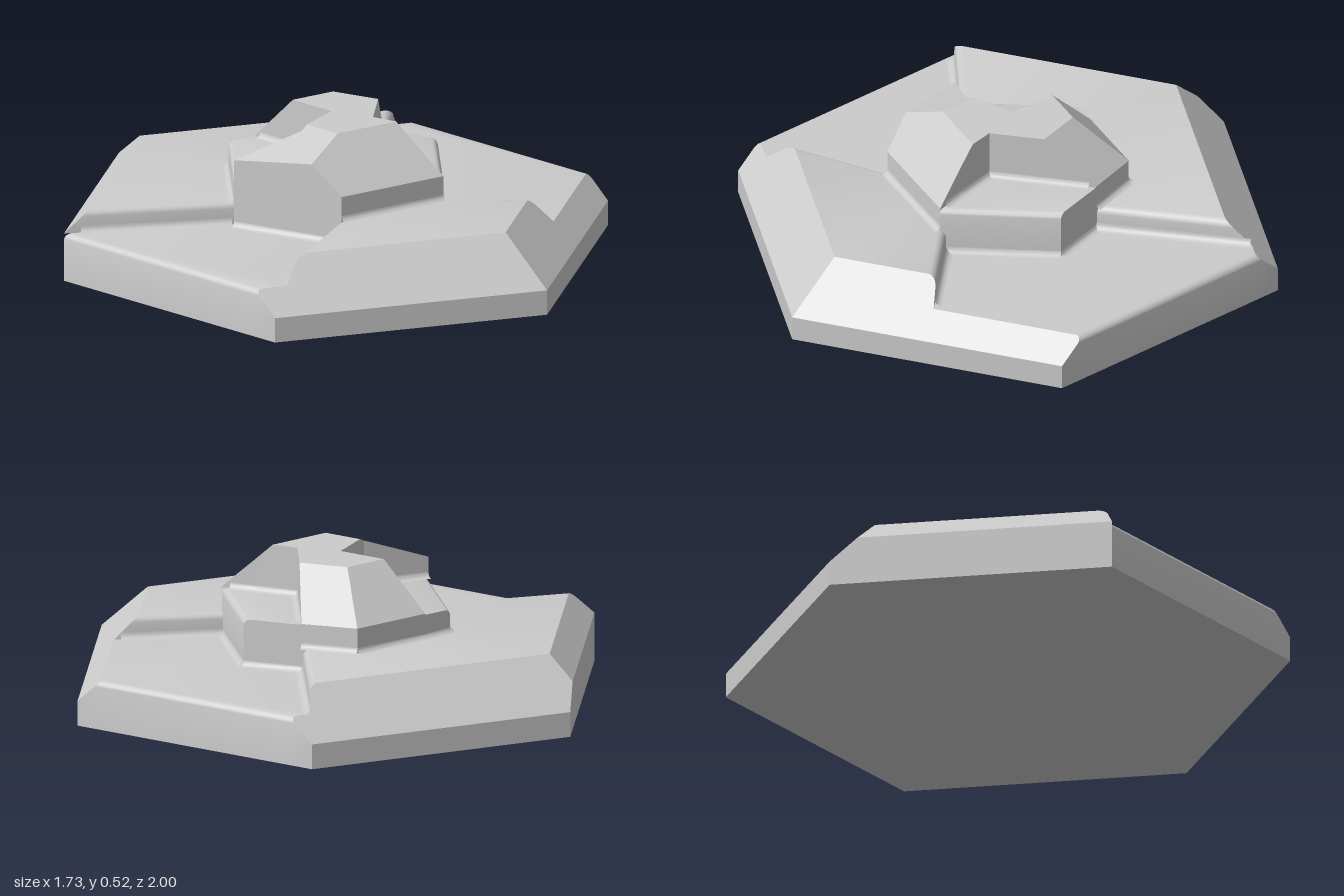
import * as THREE from 'three';
import { toCreasedNormals } from 'three/addons/utils/BufferGeometryUtils.js';

const material = new THREE.MeshStandardMaterial({ color: 0xcccccc });
const CREASE = 0.35;

// Points are [x, z]; outlines run from +x towards +z, so the outside is on the right of each edge.
function line(a, b) {
  const dx = b[0] - a[0], dz = b[1] - a[1], l = Math.hypot(dx, dz);
  const n = [dz / l, -dx / l];
  return { n, k: n[0] * a[0] + n[1] * a[1] };
}
const inset = (e, p) => e.k - e.n[0] * p[0] - e.n[1] * p[1];

// A plane [a, b, c] has height a*x + b*z + c
const height = (pl, p) => pl[0] * p[0] + pl[1] * p[1] + pl[2];
const bevel = (e, c, s = 1) => [-s * e.n[0], -s * e.n[1], c + s * e.k];
const flat = (y) => [0, 0, y];

// Tangent planes that round the upper edge of a wall
function rounding(e, y, r) {
  return [18, 36, 54, 72].map((deg) => {
    const t = (deg * Math.PI) / 180;
    return bevel(e, y - r + (r - r * Math.sin(t)) / Math.cos(t), Math.tan(t));
  });
}

function clip(poly, inside) {
  const out = [];
  poly.forEach((p, i) => {
    const q = poly[(i + 1) % poly.length], gp = inside(p), gq = inside(q);
    if (gp <= 1e-9) out.push(p);
    if ((gp < -1e-9 && gq > 1e-9) || (gp > 1e-9 && gq < -1e-9)) {
      const t = gp / (gp - gq);
      out.push([p[0] + (q[0] - p[0]) * t, p[1] + (q[1] - p[1]) * t]);
    }
  });
  return out.filter((p, i) => {
    const q = out[(i + 1) % out.length];
    return Math.hypot(p[0] - q[0], p[1] - q[1]) > 1e-6;
  });
}

function toMesh(name, pos) {
  const g = new THREE.BufferGeometry();
  g.setAttribute('position', new THREE.Float32BufferAttribute(pos, 3));
  const mesh = new THREE.Mesh(toCreasedNormals(g, CREASE), material);
  mesh.name = name;
  return mesh;
}

// Block whose top is the lowest of several planes; walls reach rimBase on the rim, innerBase elsewhere
function block(name, poly, planes, rim, rimBase, innerBase) {
  const pos = [];
  const tri = (...pts) => pts.forEach((p) => pos.push(p[0], p[1], p[2]));
  planes.forEach((pl, i) => {
    let facet = poly;
    planes.forEach((other, j) => {
      if (j !== i) facet = clip(facet, (p) => height(pl, p) - height(other, p));
    });
    if (facet.length < 3) return;
    const top = facet.map((p) => [p[0], height(pl, p), p[1]]);
    const faces = THREE.ShapeUtils.triangulateShape(facet.map((p) => new THREE.Vector2(p[0], p[1])), []);
    for (const [a, b, c] of faces) {
      const A = facet[a], B = facet[b], C = facet[c];
      const cross = (B[0] - A[0]) * (C[1] - A[1]) - (B[1] - A[1]) * (C[0] - A[0]);
      if (cross > 0) tri(top[a], top[c], top[b]);
      else tri(top[a], top[b], top[c]);
    }
    facet.forEach((p, m) => {
      const n = (m + 1) % facet.length, q = facet[n];
      const shared = planes.some((o, j) => j !== i &&
        [p, q].every((v) => Math.abs(height(o, v) - height(pl, v)) < 1e-5));
      if (shared) return;
      const onRim = rim.some((e) => Math.abs(inset(e, p)) < 0.01 && Math.abs(inset(e, q)) < 0.01);
      const base = onRim ? rimBase : innerBase;
      const P = top[m], Q = top[n];
      if (P[1] <= base && Q[1] <= base) return;
      const pb = [P[0], Math.min(base, P[1]), P[2]], qb = [Q[0], Math.min(base, Q[1]), Q[2]];
      tri(P, Q, qb);
      tri(P, qb, pb);
    });
  });
  return toMesh(name, pos);
}

// Hollow fillet along the foot of a wall
function fillet(name, a, b, y, r = 0.025, steps = 5) {
  const { n } = line(a, b), pos = [];
  const at = (p, i) => {
    const t = (i / steps) * Math.PI / 2, o = r * (1 - Math.sin(t));
    return [p[0] + n[0] * o, y + r * (1 - Math.cos(t)), p[1] + n[1] * o];
  };
  for (let i = 0; i < steps; i++) {
    pos.push(...at(a, i), ...at(a, i + 1), ...at(b, i));
    pos.push(...at(b, i), ...at(a, i + 1), ...at(b, i + 1));
  }
  return toMesh(name, pos);
}

function hexagon(radius, startDeg) {
  return Array.from({ length: 6 }, (_, i) => {
    const t = ((startDeg + 60 * i) * Math.PI) / 180;
    return [radius * Math.cos(t), radius * Math.sin(t)];
  });
}
const edgesOf = (poly) => poly.map((p, i) => line(p, poly[(i + 1) % poly.length]));

export function createModel() {
  const model = new THREE.Group();
  model.name = 'terracedHexTile';
  const LOW = 0.175, HIGH = 0.26, LEDGE = 0.345, TOP = 0.52;

  // Tile: two high and two low terraces around the middle
  const tile = new THREE.Group();
  tile.name = 'tile';
  const H = hexagon(1, -90), rim = edgesOf(H);
  const slopes = [[0, 0.09], [2, 0.09], [3, 0.09], [5, LOW]].map(([i, c]) => bevel(rim[i], c));
  const inBackLeft = [-0.2, 0.03], inBackRight = [0.1, 0.09];
  const inFrontLeft = [-0.1, 0.21], inFrontRight = [0, 0.26], outFrontRight = [0.445, 0.743];
  const high = (spokes) => [flat(HIGH), ...slopes, ...spokes.flatMap(([a, b]) => rounding(line(a, b), HIGH, 0.03))];
  const low = (edge) => [flat(LOW), ...slopes, ...rounding(edge, LOW, 0.025)];
  tile.add(
    block('frontTerrace', [outFrontRight, H[3], H[4], inFrontLeft, inFrontRight],
      high([[inFrontRight, outFrontRight], [H[4], inFrontLeft]]), rim, 0, LOW),
    block('backTerrace', [H[5], H[0], H[1], inBackRight, inBackLeft],
      high([[H[1], inBackRight], [inBackLeft, H[5]]]), rim, 0, LOW),
    block('rightTerrace', [H[1], H[2], outFrontRight, inFrontRight, inBackRight], low(rim[1]), rim, 0, Infinity),
    block('leftTerrace', [H[4], H[5], inBackLeft, inFrontLeft], low(rim[4]), rim, 0, Infinity),
    fillet('cliffFoot', [0.12, 0.39], [0.37, 0.662], LOW),
    fillet('cliffFoot', [-0.75, 0.456], [-0.3, 0.286], LOW),
    fillet('cliffFoot', [0.79, -0.441], [0.35, -0.102], LOW),
    fillet('cliffFoot', [-0.4, -0.129], [-0.82, -0.463], LOW),
  );
  const underside = new THREE.Mesh(new THREE.CircleGeometry(1, 6, Math.PI / 2).rotateX(Math.PI / 2), material);
  underside.name = 'underside';
  tile.add(underside);

  // Central mound with two notched ledges
  const mound = new THREE.Group();
  mound.name = 'mound';
  const M = hexagon(0.424, 15), side = edgesOf(M);
  const backCut = [0, -0.381], rightCut = [0.355, -0.1];
  const backNotch = [[-0.2, 0.02], [0, -0.02]], rightNotch = [[0.05, 0.13], [0.08, 0.28]];
  const leftSlope = [0.41, 0, 0.42 + 0.41 * 0.41];
  mound.add(
    block('peak', [backCut, M[5], rightCut, ...rightNotch, M[1], M[2], M[3], ...backNotch],
      [flat(TOP), leftSlope, ...[1, 4, 5].map((i) => bevel(side[i], 0.35))], side, 0.17, LEDGE),
    block('backLedge', [M[3], M[4], backCut, backNotch[1], backNotch[0]],
      [flat(LEDGE), ...rounding(side[3], LEDGE, 0.02)], side, 0.17, Infinity),
    block('rightLedge', [M[0], M[1], rightNotch[1], rightNotch[0], rightCut],
      [flat(LEDGE), ...rounding(side[0], LEDGE, 0.025)], side, 0.17, Infinity),
  );

  // Fillets at the foot of the mound and of the notch walls
  const feet = [
    [M[3], M[4], HIGH], [M[4], M[5], HIGH], [M[5], rightCut, HIGH], [M[1], M[2], HIGH],
    [rightCut, M[0], LOW], [M[0], M[1], LOW], [M[2], M[3], LOW],
    [M[3], backNotch[0], LEDGE], [backNotch[0], backNotch[1], LEDGE], [backNotch[1], [0, -0.36], LEDGE],
    [[0.335, -0.085], rightNotch[0], LEDGE], [rightNotch[0], rightNotch[1], LEDGE],
    [rightNotch[1], [0.103, 0.38], LEDGE],
  ];
  feet.forEach(([a, b, y]) => mound.add(fillet('moundFoot', a, b, y, 0.02)));

  model.add(tile, mound);
  return model;
}
